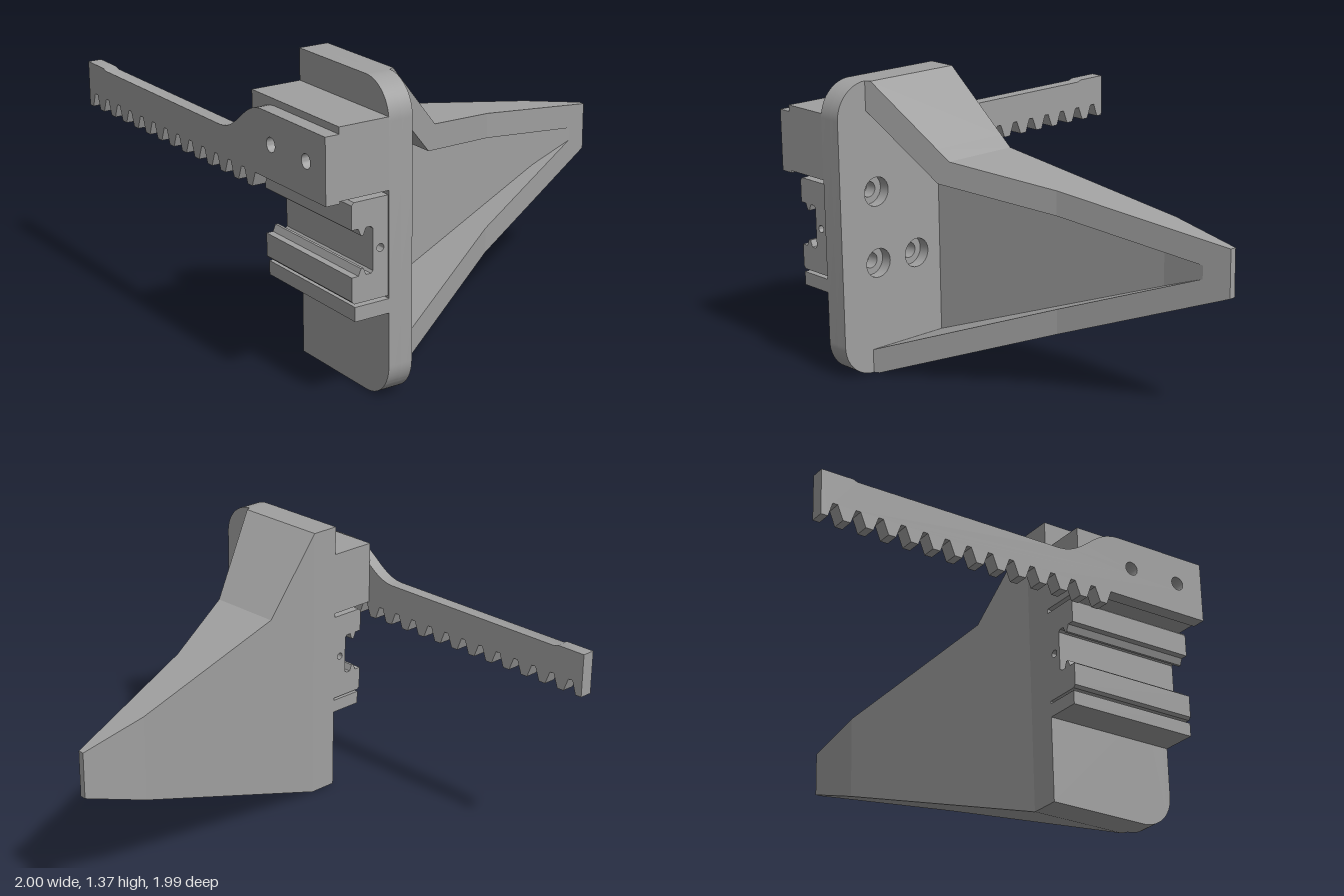
import * as THREE from 'three';
import { toCreasedNormals } from 'three/addons/utils/BufferGeometryUtils.js';

const grey = new THREE.MeshStandardMaterial({ color: 0xa0a0a0 });
grey.name = 'grey plastic';

// Piecewise linear lookup through [x, value] points
function along(points, x) {
  for (let i = 1; i < points.length; i++) {
    const [x0, v0] = points[i - 1], [x1, v1] = points[i];
    if (x <= x1 || i === points.length - 1) {
      return v0 + (v1 - v0) * THREE.MathUtils.clamp((x - x0) / (x1 - x0), 0, 1);
    }
  }
}

function addMesh(group, name, geometry) {
  const mesh = new THREE.Mesh(geometry, grey);
  mesh.name = name;
  group.add(mesh);
  return mesh;
}

function extrude(shape, depth) {
  const g = new THREE.ExtrudeGeometry(shape, { depth, bevelEnabled: false, curveSegments: 12 });
  return toCreasedNormals(g, 0.6);
}

// Extrudes a (z, y) shape between two x positions
function extrudeSide(shape, x0, x1) {
  return extrude(shape, x1 - x0).rotateY(-Math.PI / 2).translate(x1, 0, 0);
}

function hole(x, y, r) {
  return new THREE.Path().absarc(x, y, r, 0, Math.PI * 2, true);
}

function box(x0, x1, y0, y1, z0, z1) {
  return new THREE.BoxGeometry(x1 - x0, y1 - y0, z1 - z0)
    .translate((x0 + x1) / 2, (y0 + y1) / 2, (z0 + z1) / 2);
}

// Side plate outline, rounded at its front corners, with three screw holes
function plateShape(holeRadius) {
  const s = new THREE.Shape();
  s.moveTo(0.345, 0);
  s.lineTo(0.83, 0);
  s.absarc(0.83, 0.16, 0.16, -Math.PI / 2, 0, false);
  s.absarc(0.83, 1.205, 0.16, 0, Math.PI / 2, false);
  s.lineTo(0.345, 1.365);
  s.closePath();
  for (const [z, y] of [[0.785, 0.85], [0.785, 0.515], [0.56, 0.515]]) {
    s.holes.push(hole(z, y, holeRadius));
  }
  return s;
}

// Tapering tray with a sloped floor and raised upper and lower walls
function trayGeometry() {
  const top = [[-0.56, 1.365], [-0.23, 1.03], [1, 0.795]];
  const bottom = [[-0.56, 0], [1, 0.575]];
  const innerTop = [[-0.585, 1.23], [-0.28, 0.925], [0.88, 0.705]];
  const innerBottom = [[-0.585, 0.11], [0.88, 0.645]];
  const back = [[-0.56, 0.345], [0.66, 0.155]];
  const floor = [[-0.585, 0.42], [0.66, 0.226], [0.88, 0.225]];
  const rim = [[-0.585, 0.832], [0.22, 0.44], [1, 0.185]];
  const section = (x) => {
    const zb = along(back, x), zr = along(rim, x), zf = Math.min(along(floor, x), zr);
    const yt = along(top, x), yb = along(bottom, x);
    const it = along(innerTop, x), ib = along(innerBottom, x);
    return [[yb, zb], [yb, zr], [ib, zr], [ib, zf], [it, zf], [it, zr], [yt, zr], [yt, zb]]
      .map(([y, z]) => [x, y, z]);
  };
  const rows = [-0.585, -0.56, -0.28, -0.23, 0.22, 0.66, 0.88, 1].map(section);
  const pos = [];
  const quad = (a, b, c, d) => pos.push(...a, ...b, ...c, ...a, ...c, ...d);
  for (let r = 0; r < rows.length - 1; r++) {
    for (let i = 0; i < 8; i++) {
      const j = (i + 1) % 8;
      quad(rows[r][i], rows[r + 1][i], rows[r + 1][j], rows[r][j]);
    }
  }
  const tip = rows[rows.length - 1];
  quad(tip[0], tip[7], tip[6], tip[1]);
  const g = new THREE.BufferGeometry();
  g.setAttribute('position', new THREE.Float32BufferAttribute(pos, 3));
  g.computeVertexNormals();
  return g;
}

// Toothed bar with a taller drilled head
function rackShape() {
  const s = new THREE.Shape();
  s.moveTo(0.99, 0.91);
  s.lineTo(0.99, 1.195);
  s.lineTo(0.52, 1.195);
  s.bezierCurveTo(0.38, 1.195, 0.33, 1.05, 0.19, 1.047);
  s.lineTo(-0.83, 1.045);
  s.lineTo(-0.85, 1.053);
  s.lineTo(-1, 1.053);
  s.lineTo(-1, 0.845);
  s.lineTo(-0.967, 0.845);
  s.lineTo(-0.945, 0.91);
  const pitch = 0.1085;
  for (let i = 9; i >= -3; i--) {
    const z = 0.098 - i * pitch;
    s.lineTo(z - 0.043, 0.91);
    s.lineTo(z - 0.018, 0.845);
    s.lineTo(z + 0.018, 0.845);
    s.lineTo(z + 0.043, 0.91);
  }
  s.closePath();
  s.holes.push(hole(0.59, 1.06, 0.032), hole(0.85, 1.06, 0.032));
  return s;
}

// C-shaped rail section in (x, y), mirrored about its middle height
function railShape() {
  const mid = 0.685;
  const half = [[-0.7, 0.215], [-0.865, 0.215], [-0.877, 0.203], [-0.877, 0.1], [-0.845, 0.1],
    [-0.832, 0.07], [-0.82, 0.07], [-0.808, 0.1], [-0.785, 0.1], [-0.775, 0.09]];
  const upper = half.map(([x, y]) => new THREE.Vector2(x, mid + y));
  const lower = half.map(([x, y]) => new THREE.Vector2(x, mid - y)).reverse();
  const s = new THREE.Shape([...upper, ...lower]);
  s.holes.push(hole(-0.738, mid, 0.017));
  return s;
}

export function createModel() {
  const model = new THREE.Group();
  model.name = 'paddleWithRack';

  // Counterbored side plate in two layers
  const plate = new THREE.Group();
  plate.name = 'sidePlate';
  addMesh(plate, 'plateInnerLayer', extrudeSide(plateShape(0.036), -0.7, -0.64));
  addMesh(plate, 'plateOuterLayer', extrudeSide(plateShape(0.068), -0.64, -0.585));
  model.add(plate);

  addMesh(model, 'taperedTray', trayGeometry());

  // Mounting block, rack and rail
  addMesh(model, 'mountingBlock', box(-0.935, -0.7, 0.92, 1.225, 0.345, 0.99));
  addMesh(model, 'toothedRack', extrudeSide(rackShape(), -1, -0.935));
  addMesh(model, 'slideRail', extrude(railShape(), 0.64).translate(0, 0, 0.345));
  addMesh(model, 'railShelf', box(-0.865, -0.7, 0.395, 0.458, 0.345, 0.99));
  return model;
}
